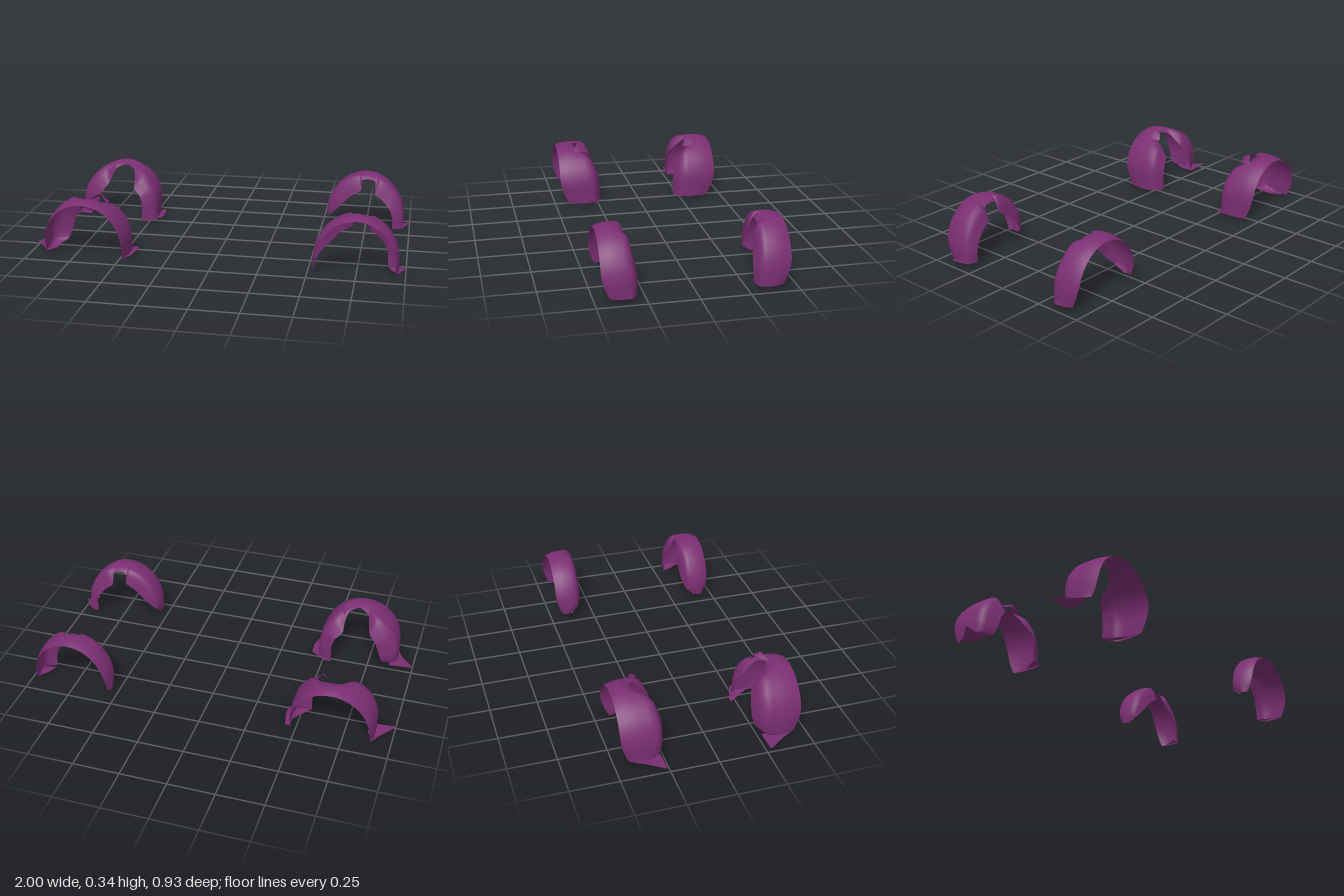
import * as THREE from 'three';

const material = new THREE.MeshStandardMaterial({ color: 0x7a2e72, side: THREE.DoubleSide });

// Wheel arch shells: each inner edge runs from the -x foot over the top to the +x foot.
const rear = {
  name: 'rear', cx: -0.687, cy: 0.09, rx: 0.223, top: 0.318,
  edge: [
    [-0.87, 0.02, 0.3], [-0.835, 0.04, 0.25], [-0.815, 0.09, 0.235], [-0.79, 0.16, 0.235],
    [-0.75, 0.21, 0.25], [-0.735, 0.25, 0.29], [-0.72, 0.285, 0.33], [-0.665, 0.302, 0.36],
    [-0.612, 0.28, 0.33], [-0.6, 0.24, 0.29], [-0.597, 0.19, 0.25], [-0.56, 0.15, 0.23],
    [-0.545, 0.1, 0.225], [-0.545, 0.05, 0.225], [-0.545, 0.003, 0.225],
  ],
  flaps: {
    outerFootFlap: [[-0.87, 0.016, 0.34], [-0.87, 0.016, 0.265], [-1, 0.025, 0.265], [-1, 0.025, 0.275], [-0.93, 0.018, 0.36], [-0.905, 0.02, 0.41]],
    innerFootFlap: [[-0.47, 0.01, 0.34], [-0.545, 0, 0.225], [-0.51, 0.002, 0.225], [-0.43, 0.02, 0.26], [-0.428, 0.025, 0.33], [-0.445, 0.02, 0.41], [-0.468, 0.015, 0.41]],
    topTab: [[-0.615, 0.337, 0.347], [-0.67, 0.312, 0.37], [-0.645, 0.31, 0.345], [-0.61, 0.318, 0.308], [-0.595, 0.28, 0.3], [-0.565, 0.292, 0.33], [-0.575, 0.296, 0.37]],
  },
};
const front = {
  name: 'front', cx: 0.745, cy: 0.07, rx: 0.22, top: 0.32,
  edge: [
    [0.53, 0.035, 0.38], [0.55, 0.075, 0.335], [0.6, 0.13, 0.316], [0.65, 0.185, 0.313],
    [0.7, 0.22, 0.31], [0.72, 0.235, 0.312], [0.722, 0.285, 0.33], [0.76, 0.292, 0.333],
    [0.798, 0.28, 0.33], [0.802, 0.215, 0.3], [0.84, 0.185, 0.296], [0.885, 0.135, 0.288],
    [0.903, 0.08, 0.286], [0.905, 0.018, 0.288],
  ],
  flaps: {
    footFlap: [[0.905, 0.016, 0.3], [0.965, 0.02, 0.32], [1, 0.037, 0.365], [0.965, 0.02, 0.41], [0.93, 0.016, 0.36]],
  },
};

// Indexed surface from a list of points
function surface(name, points, index) {
  const g = new THREE.BufferGeometry().setFromPoints(points);
  g.setIndex(index);
  g.computeVertexNormals();
  const mesh = new THREE.Mesh(g, material);
  mesh.name = name;
  return mesh;
}

// Point where the outer arch (half ellipse on straight legs) meets the ray through p
function archPoint(a, p) {
  const dx = p.x - a.cx, dy = p.y - a.cy, ry = a.top - a.cy;
  if (dy <= 0) return [a.cx + Math.sign(dx) * a.rx, p.y];
  const k = 1 / Math.hypot(dx / a.rx, dy / ry);
  return [a.cx + dx * k, a.cy + dy * k];
}

// Sweep a curved section from the outer lip round to the inner edge
function shell(a, side) {
  const rail = new THREE.CatmullRomCurve3(a.edge.map(p => new THREE.Vector3(...p)), false, 'catmullrom', 0.35);
  const N = 84, M = 12, points = [], index = [];
  for (let i = 0; i <= N; i++) {
    const inner = rail.getPoint(i / N);
    const [x, y] = archPoint(a, inner);
    const scaled = (k, z) => new THREE.Vector3(
      a.cx + (x - a.cx) * k, y > a.cy ? a.cy + (y - a.cy) * k : y, z);
    // the lip draws in near the feet
    const lipZ = 0.467 - 0.045 * Math.pow(THREE.MathUtils.clamp((0.17 - y) / 0.16, 0, 1), 2);
    const mix = t => THREE.MathUtils.lerp(lipZ, inner.z, t);
    const section = new THREE.CatmullRomCurve3([
      scaled(0.93, lipZ), scaled(0.985, mix(0.25)), scaled(1, mix(0.55)),
      scaled(0.96, mix(0.84)), inner,
    ]);
    for (let j = 0; j <= M; j++) {
      const p = section.getPoint(j / M);
      points.push(p.setZ(p.z * side));
      if (i < N && j < M) {
        const q = i * (M + 1) + j, r = q + M + 1;
        index.push(q, q + 1, r, q + 1, r + 1, r);
      }
    }
  }
  return surface('archShell', points, index);
}

// Thin flap: a fan around its first point
function flap(name, corners, side) {
  const index = [];
  for (let i = 1; i < corners.length - 1; i++) index.push(0, i, i + 1);
  return surface(name, corners.map(([x, y, z]) => new THREE.Vector3(x, y, z * side)), index);
}

export function createModel() {
  const model = new THREE.Group();
  model.name = 'wheelArchLiners';
  for (const a of [rear, front]) {
    for (const side of [1, -1]) {
      const liner = new THREE.Group();
      liner.name = `${a.name}Liner${side > 0 ? 'Near' : 'Far'}`;
      liner.add(shell(a, side));
      for (const [name, corners] of Object.entries(a.flaps)) liner.add(flap(name, corners, side));
      model.add(liner);
    }
  }
  return model;
}
